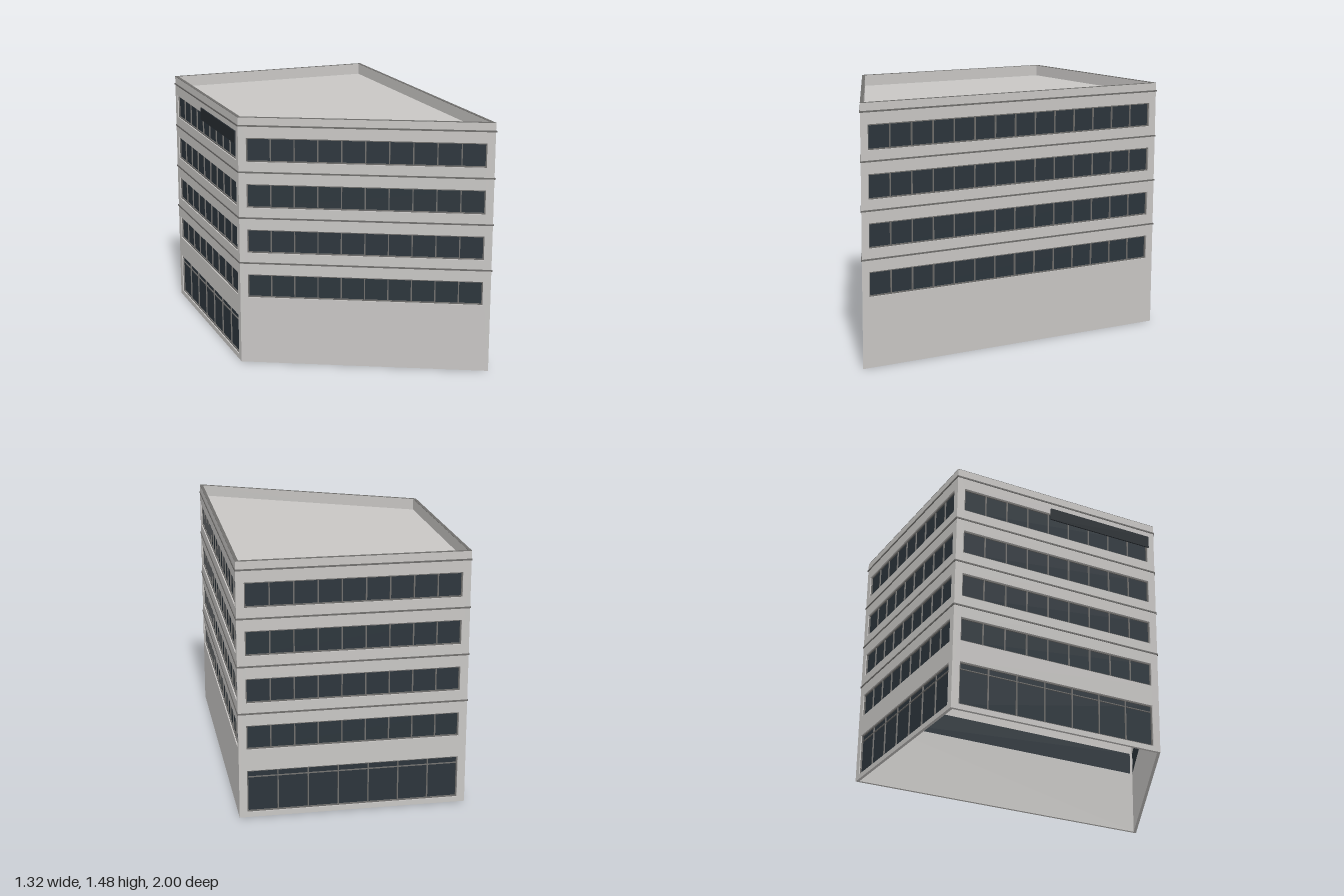
import * as THREE from 'three';

const mat = (name, color) => {
  const m = new THREE.MeshStandardMaterial({ color });
  m.name = name;
  return m;
};

// Plan corners [x, z], going front, +x side, back, -x side
const PLAN = [[-0.653, 0.32], [0.632, 0.99], [0.652, -0.988], [-0.638, -0.996]];
const HEIGHT = 1.475, THICK = 0.018, ROOF = 1.408, PITCH = 0.271, MARGIN = 0.045, BAR = 0.007;

const corner = i => new THREE.Vector2(...PLAN[(i + 4) % 4]);
const along = i => corner(i + 1).sub(corner(i)).normalize();
const outward = i => { const d = along(i); return new THREE.Vector2(-d.y, d.x); };

// Plan outline moved outward by d with mitred corners
function outline(d) {
  return PLAN.map((_, i) => {
    const a = outward(i - 1), b = outward(i);
    return corner(i).addScaledVector(a.clone().add(b), d / (1 + a.dot(b)));
  });
}

// Flat plan slab, or a ring when an inner offset is given
function slab(outer, inner, y, h) {
  const pts = d => outline(d).map(p => new THREE.Vector2(p.x, -p.y));
  const shape = new THREE.Shape(pts(outer));
  if (inner !== null) shape.holes.push(new THREE.Path(pts(inner)));
  return new THREE.ExtrudeGeometry(shape, { depth: h, bevelEnabled: false })
    .rotateX(-Math.PI / 2).translate(0, y, 0);
}

export function createModel() {
  const concrete = mat('concrete', 0xc8c6c4);
  const trim = mat('trim grey', 0x6f6e6c);
  const glass = mat('dark glass', 0x2b343b);
  const signDark = mat('sign dark', 0x252b30);
  const model = new THREE.Group();
  model.name = 'officeBuilding';

  const add = (parent, name, geo, material) => {
    const mesh = new THREE.Mesh(geo, material);
    mesh.name = name;
    parent.add(mesh);
    return mesh;
  };
  const box = (parent, name, material, x0, x1, y0, y1, z0, z1) =>
    add(parent, name, new THREE.BoxGeometry(x1 - x0, y1 - y0, z1 - z0)
      .translate((x0 + x1) / 2, (y0 + y1) / 2, (z0 + z1) / 2), material);

  // Ribbon window: recessed glass, outer frame, mullions and optional transom
  function ribbon(parent, u0, u1, y0, y1, panes, transom) {
    const g = new THREE.Group();
    g.name = transom ? 'shopWindow' : 'ribbonWindow';
    parent.add(g);
    box(g, 'glass', glass, u0, u1, y0, y1, -0.017, -0.014);
    const bar = (name, a, b, c, d) => box(g, name, trim, a, b, c, d, -0.0145, -0.007);
    bar('sill', u0, u1, y0, y0 + BAR);
    bar('head', u0, u1, y1 - BAR, y1);
    if (transom) bar('transom', u0 + BAR, u1 - BAR, transom, transom + 0.005);
    for (let k = 0; k <= panes; k++) {
      const u = u0 + BAR / 2 + (u1 - u0 - BAR) * k / panes;
      bar('mullion', u - BAR / 2, u + BAR / 2, y0 + BAR, y1 - BAR);
    }
  }

  const walls = [
    { name: 'frontWall', panes: 10 },
    { name: 'rightSideWall', panes: 14 },
    { name: 'backWall', panes: 9, shop: 7 },
    { name: 'leftSideWall', panes: 9, shop: 7 },
  ];

  walls.forEach((w, i) => {
    const start = corner(i), dir = along(i);
    const len = start.distanceTo(corner(i + 1));
    const group = new THREE.Group();
    group.name = w.name;
    group.position.set(start.x, 0, start.y);
    group.rotation.y = Math.atan2(-dir.y, dir.x);
    model.add(group);

    // Openings, storey by storey
    const openings = [];
    for (let f = 0; f < 4; f++) openings.push([0.403 + f * PITCH, 0.544 + f * PITCH, w.panes, 0]);
    if (w.shop) openings.push([0.03, 0.278, w.shop, 0.235]);

    const shape = new THREE.Shape([[0, 0], [len, 0], [len, HEIGHT], [0, HEIGHT]]
      .map(p => new THREE.Vector2(...p)));
    const u0 = MARGIN, u1 = len - MARGIN;
    for (const [y0, y1, panes, transom] of openings) {
      shape.holes.push(new THREE.Path([[u0, y0], [u0, y1], [u1, y1], [u1, y0]]
        .map(p => new THREE.Vector2(...p))));
      ribbon(group, u0, u1, y0, y1, panes, transom);
    }
    const geo = new THREE.ExtrudeGeometry(shape, { depth: THICK, bevelEnabled: false })
      .translate(0, 0, -THICK);

    // Mitre the inner edges at both corners
    const inner = outline(-THICK), pos = geo.attributes.position;
    const ends = [inner[i], inner[(i + 1) % 4]].map(p => p.clone().sub(start).dot(dir));
    for (let k = 0; k < pos.count; k++) {
      if (pos.getZ(k) > -THICK / 2) continue;
      const u = pos.getX(k);
      if (u < 1e-4) pos.setX(k, ends[0]);
      else if (u > len - 1e-4) pos.setX(k, ends[1]);
    }
    geo.computeVertexNormals();
    add(group, 'wallPanel', geo, concrete);

    // Long sign board on the left side
    if (i === 3) box(group, 'signBoard', signDark, 0.6, 1.275, 1.315, 1.388, 0.001, 0.009);
  });

  // Projecting string courses at each floor line
  for (let f = 0; f < 4; f++) {
    add(model, 'floorBand', slab(0.004, -0.002, 0.609 + f * PITCH, 0.009), trim);
  }

  // Roof deck and parapet cap
  add(model, 'roofDeck', slab(-THICK + 0.002, null, ROOF - 0.01, 0.01), concrete);
  add(model, 'parapetCap', slab(0.0005, -THICK, HEIGHT - 0.001, 0.002), trim);

  return model;
}
